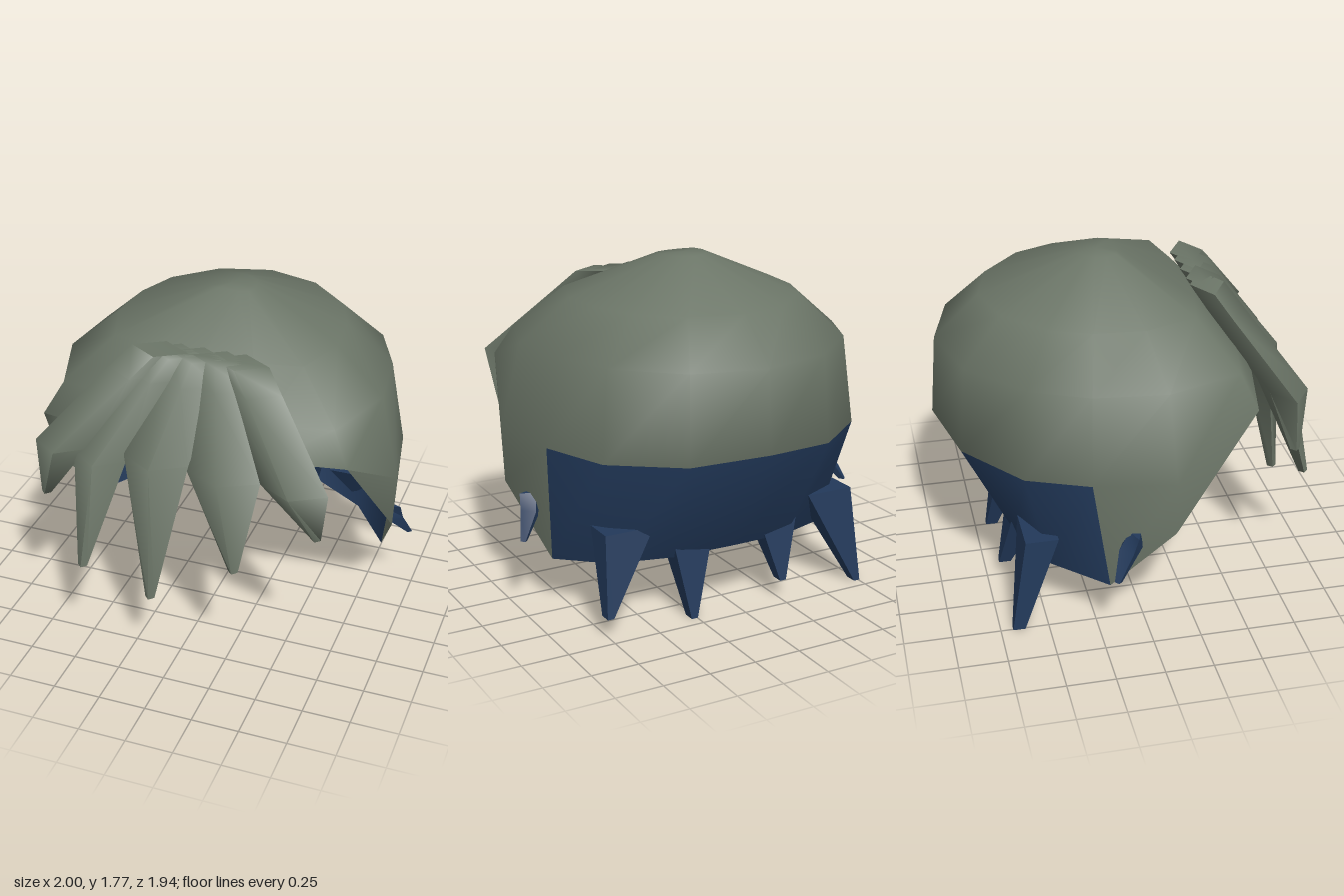
import * as THREE from 'three';
import { toCreasedNormals } from 'three/addons/utils/BufferGeometryUtils.js';

const hairGrey = new THREE.MeshStandardMaterial({ color: 0x6b7567, side: THREE.DoubleSide });
hairGrey.name = 'hairGrey';
const undercutNavy = new THREE.MeshStandardMaterial({ color: 0x22395a, side: THREE.DoubleSide });
undercutNavy.name = 'undercutNavy';

// Half of the cap, from back centre to front centre: widest point, then lower edge
const columns = [
  { mid: [0, 0.92, -0.97], edge: [0, 0.34, -0.65] },
  { mid: [0.4, 0.89, -0.87], edge: [0.34, 0.32, -0.6] },
  { mid: [0.73, 0.88, -0.6], edge: [0.62, 0.29, -0.46] },
  { mid: [0.89, 0.9, -0.29], edge: [0.83, 0.26, -0.19] },
  { mid: [0.96, 0.9, 0.12], edge: [0.95, 0.61, 0.12] },
  { mid: [0.81, 1.18, 0.56], edge: [0.81, 1.18, 0.56] },
  { mid: [0.42, 1.19, 0.64], edge: [0.42, 1.19, 0.64] },
  { mid: [0, 1.2, 0.66], edge: [0, 1.2, 0.66] },
];

// Open smooth cap; the lower back panels are navy
function capGeometry() {
  const mirror = ([x, y, z]) => [-x, y, z];
  const ring = [
    ...columns,
    ...columns.slice(1, -1).reverse().map((c) => ({ mid: mirror(c.mid), edge: mirror(c.edge) })),
  ];
  const n = ring.length, cz = -0.085, pos = [0, 1.768, cz];
  for (const { mid, edge } of ring) {
    const back = Math.max(0, -mid[2]);
    const rows = [[0.13, 1.765], [0.62 + 0.08 * back, 1.565], [0.89 + 0.075 * back, 1.345]];
    for (const [s, y] of rows) pos.push(mid[0] * s, y, cz + (mid[2] - cz) * s);
    pos.push(...mid, ...edge);
  }
  const id = (c, r) => 1 + (c % n) * 5 + r;
  const grey = [], navy = [];
  for (let c = 0; c < n; c++) {
    grey.push(0, id(c + 1, 0), id(c, 0));
    for (let r = 0; r < 4; r++) {
      if (r === 3 && c >= 5 && c < n - 5) continue;
      const list = r === 3 && (c < 3 || c >= n - 3) ? navy : grey;
      const a = id(c, r), b = id(c + 1, r), d = id(c + 1, r + 1), e = id(c, r + 1);
      list.push(a, b, d, a, d, e);
    }
  }
  const g = new THREE.BufferGeometry();
  g.setAttribute('position', new THREE.Float32BufferAttribute(pos, 3));
  g.setIndex([...grey, ...navy]);
  g.addGroup(0, grey.length, 0);
  g.addGroup(grey.length, navy.length, 1);
  g.computeVertexNormals();
  return g;
}

// Closed four-sided loft through level sections [x, y, z, halfWidth, halfDepth], top to bottom
function loft(sections, crease, turn = 0) {
  const pos = [], idx = [], last = (sections.length - 1) * 4;
  for (const [x, y, z, w, d] of sections) {
    for (let i = 0; i < 4; i++) {
      const a = turn + (i * Math.PI) / 2;
      pos.push(x + w * Math.cos(a), y, z - d * Math.sin(a));
    }
  }
  for (let r = 0; r < last; r += 4) {
    for (let i = 0; i < 4; i++) {
      const j = (i + 1) % 4;
      idx.push(r + i, r + 4 + i, r + 4 + j, r + i, r + 4 + j, r + j);
    }
  }
  idx.push(0, 1, 2, 0, 2, 3, last, last + 2, last + 1, last, last + 3, last + 2);
  const g = new THREE.BufferGeometry();
  g.setAttribute('position', new THREE.Float32BufferAttribute(pos, 3));
  g.setIndex(idx);
  return toCreasedNormals(g, crease);
}

export function createModel() {
  const model = new THREE.Group();
  const add = (parent, name, geometry, material) => {
    const mesh = new THREE.Mesh(geometry, material);
    mesh.name = name;
    parent.add(mesh);
  };

  add(model, 'hairCap', capGeometry(), [hairGrey, undercutNavy]);

  // Fringe locks: root x, bend [x, y, half width], tip [x, y, z]
  const fringe = new THREE.Group();
  fringe.name = 'fringe';
  model.add(fringe);
  const locks = [
    [-0.2, [-0.61, 1.16, 0.14], [-0.7, 0.87, 0.8]],
    [-0.12, [-0.4, 1.13, 0.14], [-0.45, 0.57, 0.945]],
    [0, [-0.1, 1.17, 0.17], [-0.11, 0.41, 0.885]],
    [0.12, [0.25, 1.15, 0.19], [0.33, 0.66, 0.86]],
    [0.22, [0.61, 1.15, 0.17], [0.71, 0.85, 0.72]],
  ];
  locks.forEach(([rx, [bx, by, bw], [tx, ty, tz]], i) => {
    const t = 0.24;
    add(fringe, 'fringeLock' + (i + 1), loft([
      [rx, 1.605, 0.45, 0.15, 0.09],
      [rx + (bx - rx) * t, 1.5, 0.525, 0.15, 0.095],
      [bx, by, 0.78, bw, 0.1],
      [tx, ty, tz, 0.025, 0.025],
    ], 1.35), hairGrey);
  });

  // Nape spikes: top x, tip x, tip y
  const nape = new THREE.Group();
  nape.name = 'napeSpikes';
  model.add(nape);
  [[-0.6, -0.74, 0], [-0.27, -0.265, 0.1], [0.235, 0.265, 0], [0.59, 0.74, 0.1]].forEach(([x, tx, ty], i) => {
    add(nape, 'napeSpike' + (i + 1), loft([
      [x, 0.51, -0.52, 0.19, 0.12],
      [tx, ty, -0.655, 0.025, 0.045],
    ], 0.6, Math.PI / 4), undercutNavy);
  });

  // Small spikes by the ears
  for (const s of [-1, 1]) {
    add(model, s > 0 ? 'leftEarSpike' : 'rightEarSpike', loft([
      [s * 0.87, 0.6, -0.07, 0.08, 0.03],
      [s * 0.9, 0.52, -0.1, 0.06, 0.06],
      [s * 0.98, 0.385, -0.18, 0.02, 0.02],
    ], 0.6), undercutNavy);
  }
  return model;
}
